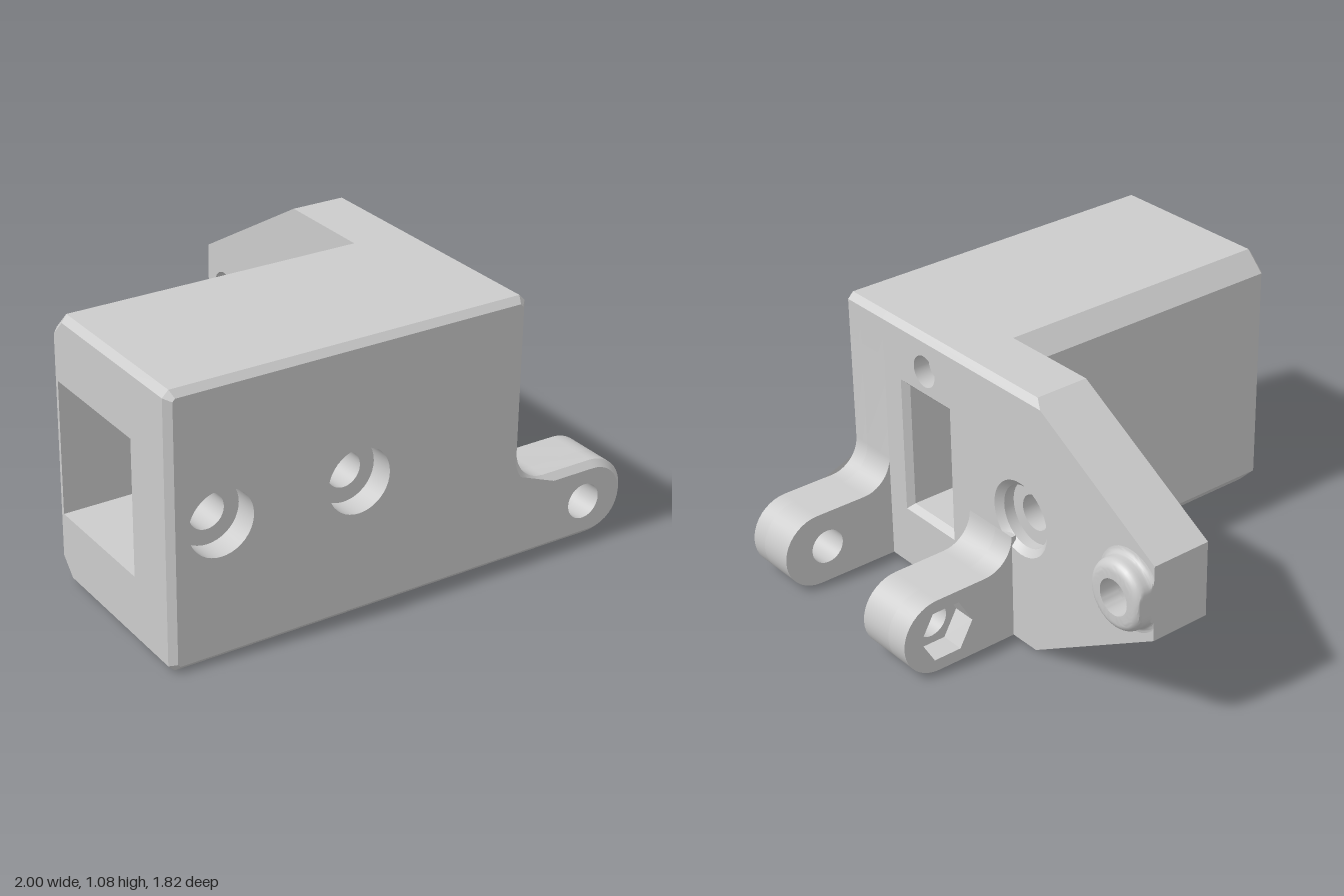
import * as THREE from 'three';
import { toCreasedNormals } from 'three/addons/utils/BufferGeometryUtils.js';

const material = new THREE.MeshStandardMaterial({ color: 0xcccccc });
const V = (x, y) => new THREE.Vector2(x, y);

// Points on an arc, angles in degrees
function arc(cx, cy, r, a0, a1, n) {
  return Array.from({ length: n + 1 }, (_, i) => {
    const a = THREE.MathUtils.degToRad(a0 + (a1 - a0) * i / n);
    return V(cx + r * Math.cos(a), cy + r * Math.sin(a));
  });
}
const circle = (cx, cy, r, n = 40) => arc(cx, cy, r, 0, 360 * (n - 1) / n, n - 1);
const rect = (x0, y0, x1, y1) => [V(x0, y0), V(x1, y0), V(x1, y1), V(x0, y1)];

// Moves each edge of a counter-clockwise outline inwards by d(edgeIndex)
function inset(pts, d) {
  const n = pts.length;
  const normals = pts.map((p, i) => {
    const e = pts[(i + 1) % n].clone().sub(p).normalize();
    return V(-e.y, e.x);
  });
  return pts.map((p, i) => {
    const j = (i + n - 1) % n, a = normals[j], b = normals[i], da = d(j), db = d(i);
    const det = a.x * b.y - a.y * b.x;
    if (Math.abs(det) < 1e-3) return p.clone().addScaledVector(a, da);
    return V(p.x + (da * b.y - db * a.y) / det, p.y + (a.x * db - b.x * da) / det);
  });
}

// Prism along +z; contours are { pts, top }, where top is the chamfered end
function slab(contours, length, chamfer = 0) {
  const shape = new THREE.Shape(contours[0].pts);
  shape.holes = contours.slice(1).map(c => new THREE.Path(c.pts));
  const geo = new THREE.ExtrudeGeometry(shape, {
    depth: length, steps: chamfer ? 2 : 1, bevelEnabled: false,
  });
  const key = (x, y) => Math.round(x * 1e4) + ',' + Math.round(y * 1e4);
  const moves = new Map();
  for (const { pts, top } of contours) {
    if (top) pts.forEach((p, i) => moves.set(key(p.x, p.y), top[i]));
  }
  const pos = geo.attributes.position;
  for (let i = 0; i < pos.count; i++) {
    const z = pos.getZ(i);
    if (z > length * 0.75) {
      const m = moves.get(key(pos.getX(i), pos.getY(i)));
      if (m) pos.setXY(i, m.x, m.y);
    } else if (z > length * 0.25) pos.setZ(i, length - chamfer);
  }
  return geo;
}

export function createModel() {
  const model = new THREE.Group();
  const add = (name, geo) => {
    const mesh = new THREE.Mesh(toCreasedNormals(geo, 0.5), material);
    mesh.name = name;
    model.add(mesh);
  };
  const C = 0.025;

  // Rounded hinge ear with a fillet running up into the body
  const earEdge = [
    ...arc(0.845, 0.155, 0.155, -90, 90, 20),
    ...arc(0.62, 0.44, 0.13, 270, 180, 10),
  ];
  const pin = { pts: circle(0.805, 0.155, 0.072) };

  // Front wall and front ear in one outline, with two counterbored holes
  const wall = [
    V(-1 + C, 0), ...earEdge, V(0.49, 1.08 - C), V(0.49 - C, 1.08),
    V(-1 + C, 1.08), V(-1, 1.08 - C), V(-1, C),
  ];
  const bolts = r => [-0.795, -0.23].map(x => ({ pts: circle(x, 0.54, r) }));
  add('frontWallInner', slab([{ pts: wall }, pin, ...bolts(0.07)], 0.15).translate(0, 0, 0.66));
  add('frontWallOuter', slab([{ pts: wall, top: inset(wall, () => C) }, pin, ...bolts(0.13)],
    0.1, C).translate(0, 0, 0.81));

  // Rear ear with a hexagonal nut pocket on its back
  const ear = [V(0.47, 0), ...earEdge, V(0.47, 0.44)];
  add('rearEar', slab([{ pts: ear }, pin], 0.155).translate(0, 0, -0.015));
  add('rearEarNutPocket', slab([{ pts: ear }, { pts: circle(0.805, 0.155, 0.12, 6) }],
    0.1).translate(0, 0, -0.115));

  // Channel body: top, bottom and back walls, open at the right end
  const channel = [
    V(0.66, 0), V(0.66, 0.27), V(0.13, 0.27), V(0.13, 0.81), V(0.66, 0.81),
    V(0.66, 1.08), V(0.17, 1.08), V(0.09, 1), V(0.09, 0.08), V(0.17, 0),
  ];
  add('channelBody', slab([{ pts: channel, top: inset(channel, i => (i >= 5 ? C : 0)) }],
    1.24, C).rotateY(-Math.PI / 2).translate(0.24, 0, 0));

  // Side plate, drawn with -z to the right; only its top edge is chamfered
  const plate = [
    V(-0.66, 0), V(0.25, 0), V(0.91, 0.39), V(0.91, 0.7), V(0.25, 1.08), V(-0.66, 1.08),
  ];
  const slot = rect(-0.53, 0.28, -0.27, 0.81);
  const bossHole = { pts: circle(0.785, 0.545, 0.072) };
  add('sidePlateInner', slab([
    { pts: plate }, { pts: slot }, bossHole, { pts: circle(0.17, 0.545, 0.072) },
  ], 0.18).rotateY(Math.PI / 2).translate(0.24, 0, 0));
  add('sidePlateOuter', slab([
    { pts: plate, top: inset(plate, i => (i === 4 ? C : 0)) },
    { pts: slot, top: inset(slot, () => -C) },
    bossHole,
    { pts: circle(0.17, 0.545, 0.128), top: circle(0.17, 0.545, 0.155) },
    { pts: circle(-0.4, 0.93, 0.065) },
  ], 0.07, C).rotateY(Math.PI / 2).translate(0.42, 0, 0));

  // Rounded boss with a flared foot, trimmed flush with the plate's end
  const boss = new THREE.LatheGeometry([
    ...arc(0.165, 0.025, 0.025, 270, 180, 5),
    ...arc(0.1, 0.04, 0.04, 0, 90, 8),
    V(0.072, 0.08), V(0.072, -0.01),
  ], 48).rotateZ(-Math.PI / 2).translate(0.49, 0.545, -0.785);
  const p = boss.attributes.position;
  for (let i = 0; i < p.count; i++) p.setZ(i, Math.max(p.getZ(i), -0.91));
  add('boss', boss);

  return model;
}
